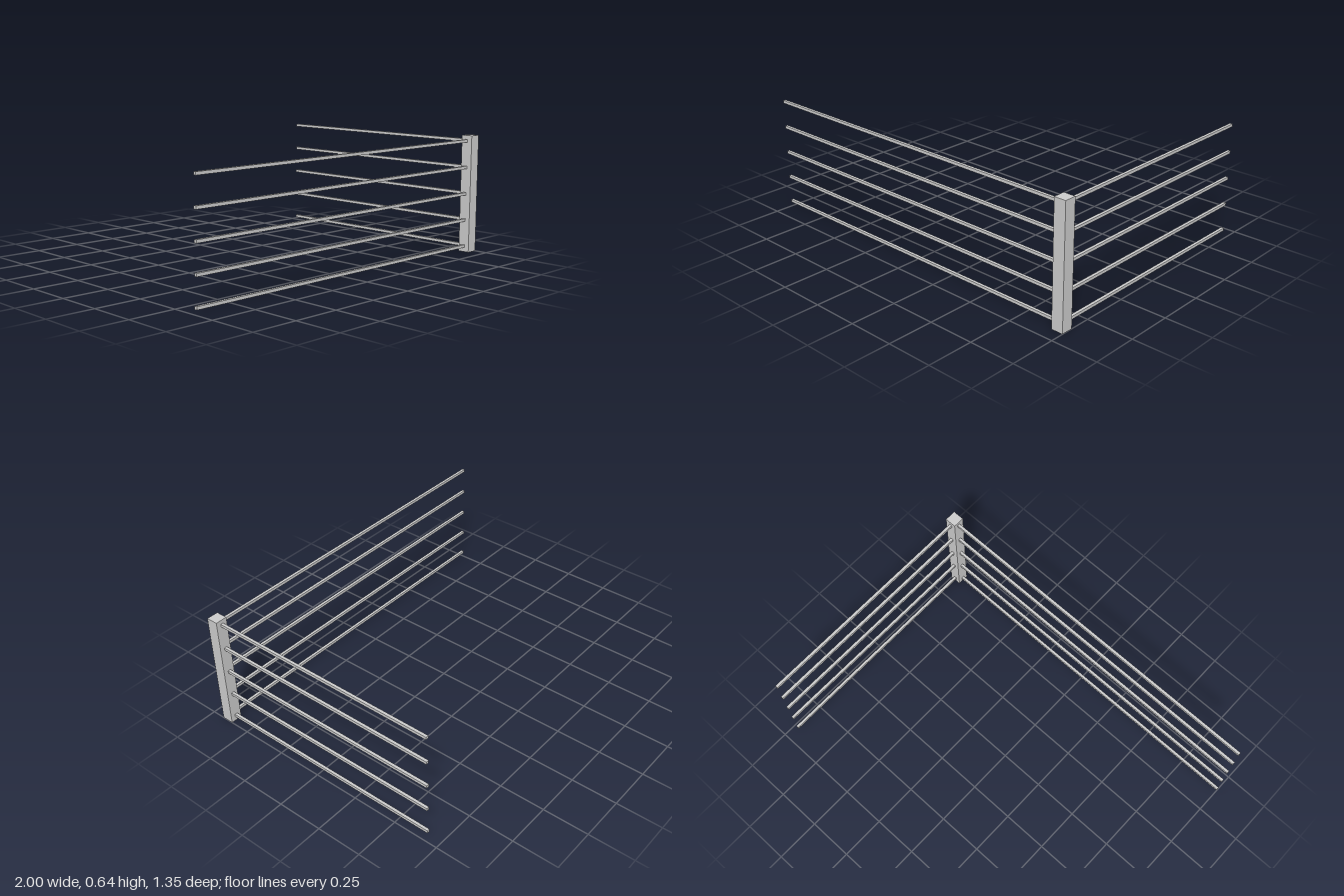
import * as THREE from 'three';

export function createModel() {
  const model = new THREE.Group();
  const material = new THREE.MeshStandardMaterial({ color: 0xcccccc });

  // Square corner post
  const post = new THREE.Mesh(new THREE.BoxGeometry(0.064, 0.645, 0.064), material);
  post.name = 'cornerPost';
  post.position.set(0.968, 0.3225, 0.645);
  model.add(post);

  // Two runs of five square rails, meeting at the post
  const thickness = 0.0155;
  const frontRail = new THREE.BoxGeometry(1.95, thickness, thickness);
  const sideRail = new THREE.BoxGeometry(thickness, thickness, 1.302);

  function addRun(name, geometry, x, z) {
    const run = new THREE.Group();
    run.name = name + 'Run';
    for (let i = 0; i < 5; i++) {
      const rail = new THREE.Mesh(geometry, material);
      rail.name = name + 'Rail';
      rail.position.set(x, 0.032 + i * 0.146, z);
      run.add(rail);
    }
    model.add(run);
  }
  addRun('front', frontRail, -0.025, 0.643);
  addRun('side', sideRail, 0.967, -0.026);

  return model;
}
